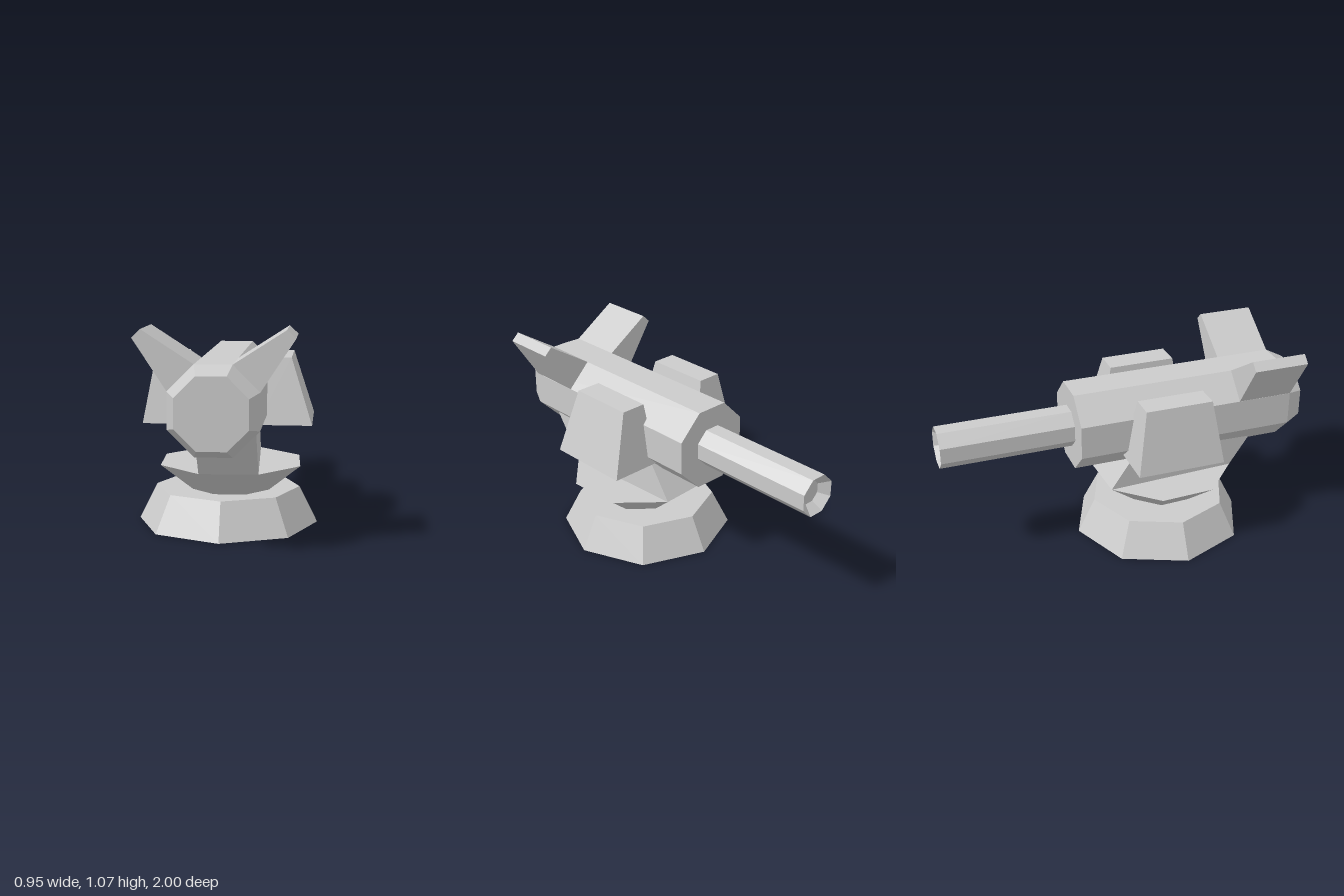
import * as THREE from 'three';

const grey = new THREE.MeshStandardMaterial({ color: 0xcccccc, flatShading: true, side: THREE.DoubleSide });

function add(group, name, geometry, x = 0, y = 0, z = 0) {
  const mesh = new THREE.Mesh(geometry, grey);
  mesh.name = name;
  mesh.position.set(x, y, z);
  group.add(mesh);
  return mesh;
}

// Eight-sided solid of revolution about y, from [radius, height] points
function octagon(profile, startDegrees) {
  const points = profile.map(([r, h]) => new THREE.Vector2(r, h));
  return new THREE.LatheGeometry(points, 8, THREE.MathUtils.degToRad(startDegrees));
}

// Six-faced block between two four-cornered outlines of [x, z],
// each ordered front -x, front +x, back +x, back -x
function block(bottom, y0, top, y1) {
  const p = [...bottom.map(([x, z]) => [x, y0, z]), ...top.map(([x, z]) => [x, y1, z])];
  const faces = [[3, 2, 1, 0], [4, 5, 6, 7]];
  for (let i = 0; i < 4; i++) {
    const j = (i + 1) % 4;
    faces.push([i, j, j + 4, i + 4]);
  }
  const positions = faces.flatMap(([a, b, c, d]) => [a, b, c, a, c, d].flatMap((i) => p[i]));
  const geometry = new THREE.BufferGeometry();
  geometry.setAttribute('position', new THREE.Float32BufferAttribute(positions, 3));
  geometry.computeVertexNormals();
  return geometry;
}

const rectangle = (x0, x1, z0, z1) => [[x0, z1], [x1, z1], [x1, z0], [x0, z0]];

export function createModel() {
  const model = new THREE.Group();
  model.name = 'turret';

  // Hollow base, open underneath
  add(model, 'base', octagon([[0.475, 0], [0.38, 0.19], [0, 0.19]], 0), 0, 0, 0.23);

  // Flared collar, turned slightly on the base
  const turn = 25.5, cx = 0.0215, cz = 0.255, collarRadius = 0.389;
  add(model, 'collar', octagon([[0.215, 0.19], [collarRadius, 0.33], [0, 0.33]], turn), cx, 0, cz);

  // Neck leaning forward from the front and back edges of the collar
  const foot = [turn - 45, turn, turn + 135, turn + 180].map((degrees) => {
    const a = THREE.MathUtils.degToRad(degrees);
    return [cx + collarRadius * Math.sin(a), cz + collarRadius * Math.cos(a)];
  });
  add(model, 'neck', block(foot, 0.33, foot.map(([x, z]) => [x, z + 0.22]), 0.65));

  // Body with a bevelled front end
  const body = octagon([[0, -0.285], [0.236, -0.285], [0.236, 0.91], [0.188, 1], [0, 1]], 22.5);
  add(model, 'body', body.rotateX(Math.PI / 2), 0, 0.692, 0);

  // Barrel with a recessed muzzle at the back
  const barrel = octagon([[0, -0.95], [0.065, -0.95], [0.111, -1], [0.111, -0.28]], 22.5);
  add(model, 'barrel', barrel.rotateX(Math.PI / 2), -0.003, 0.692, 0);

  // Raised fins growing out of the upper slopes of the body
  for (const side of [-1, 1]) {
    const outline = [[0.09, 0.91], [0.218, 0.783], [0.38, 1.03], [0.338, 1.07]];
    const shape = new THREE.Shape(outline.map(([x, y]) => new THREE.Vector2(side * x, y)));
    const fin = new THREE.ExtrudeGeometry(shape, { depth: 0.3, bevelEnabled: false });
    add(model, side > 0 ? 'leftFin' : 'rightFin', fin, 0, 0, 0.61);
  }

  // Tapered side pods
  add(model, 'leftPod', block(rectangle(0.165, 0.447, -0.037, 0.438), 0.55, rectangle(0.2, 0.339, 0.02, 0.385), 0.89));
  add(model, 'rightPod', block(rectangle(-0.418, -0.14, -0.037, 0.438), 0.55, rectangle(-0.356, -0.223, 0.02, 0.385), 0.89));

  return model;
}
